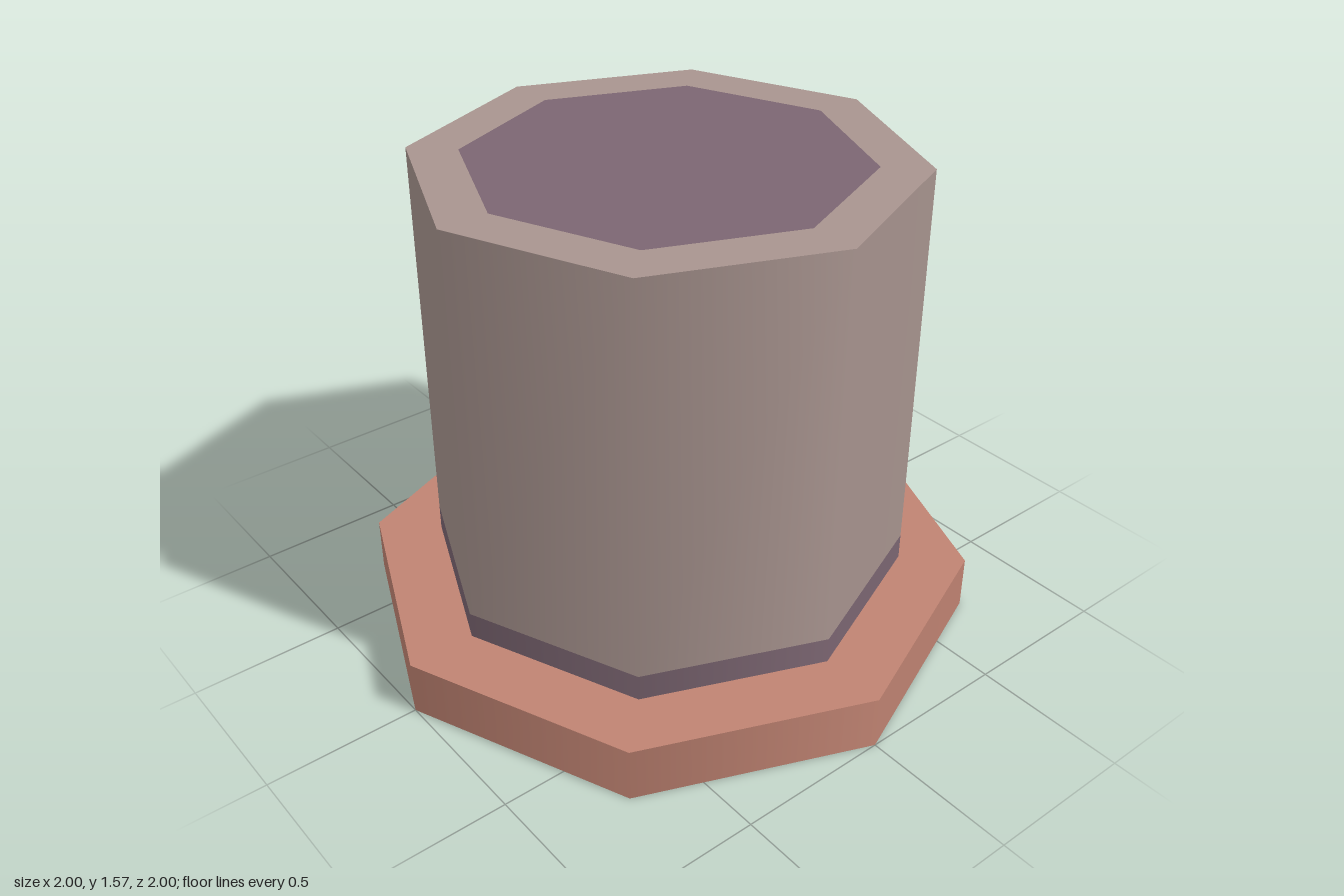
import * as THREE from 'three';

const SIDES = 8;

export function createModel() {
  const model = new THREE.Group();
  const material = (name, color) => {
    const m = new THREE.MeshStandardMaterial({ color });
    m.name = name;
    return m;
  };
  const stone = material('warm grey', 0xa8948f);
  const clay = material('terracotta', 0xc08372);
  const plum = material('dull plum', 0x7c6672);

  const add = (name, geometry, mat, y) => {
    const mesh = new THREE.Mesh(geometry, mat);
    mesh.name = name;
    mesh.position.y = y;
    model.add(mesh);
  };
  // Upright octagonal prism between two heights, smooth around its sides
  const prism = (name, radius, bottom, top, mat, open) =>
    add(name, new THREE.CylinderGeometry(radius, radius, top - bottom, SIDES, 1, open), mat, (bottom + top) / 2);

  // Wide foot, dark band above it, and the tall body
  prism('base', 1, 0, 0.18, clay, false);
  prism('lowerBand', 0.78, 0.18, 0.267, plum, true);
  prism('body', 0.78, 0.267, 1.57, stone, true);

  // Flat top: pale rim around a dark centre
  add('topRim', new THREE.RingGeometry(0.62, 0.78, SIDES).rotateX(-Math.PI / 2), stone, 1.57);
  add('topCentre', new THREE.CircleGeometry(0.62, SIDES).rotateX(-Math.PI / 2), plum, 1.57);

  return model;
}
